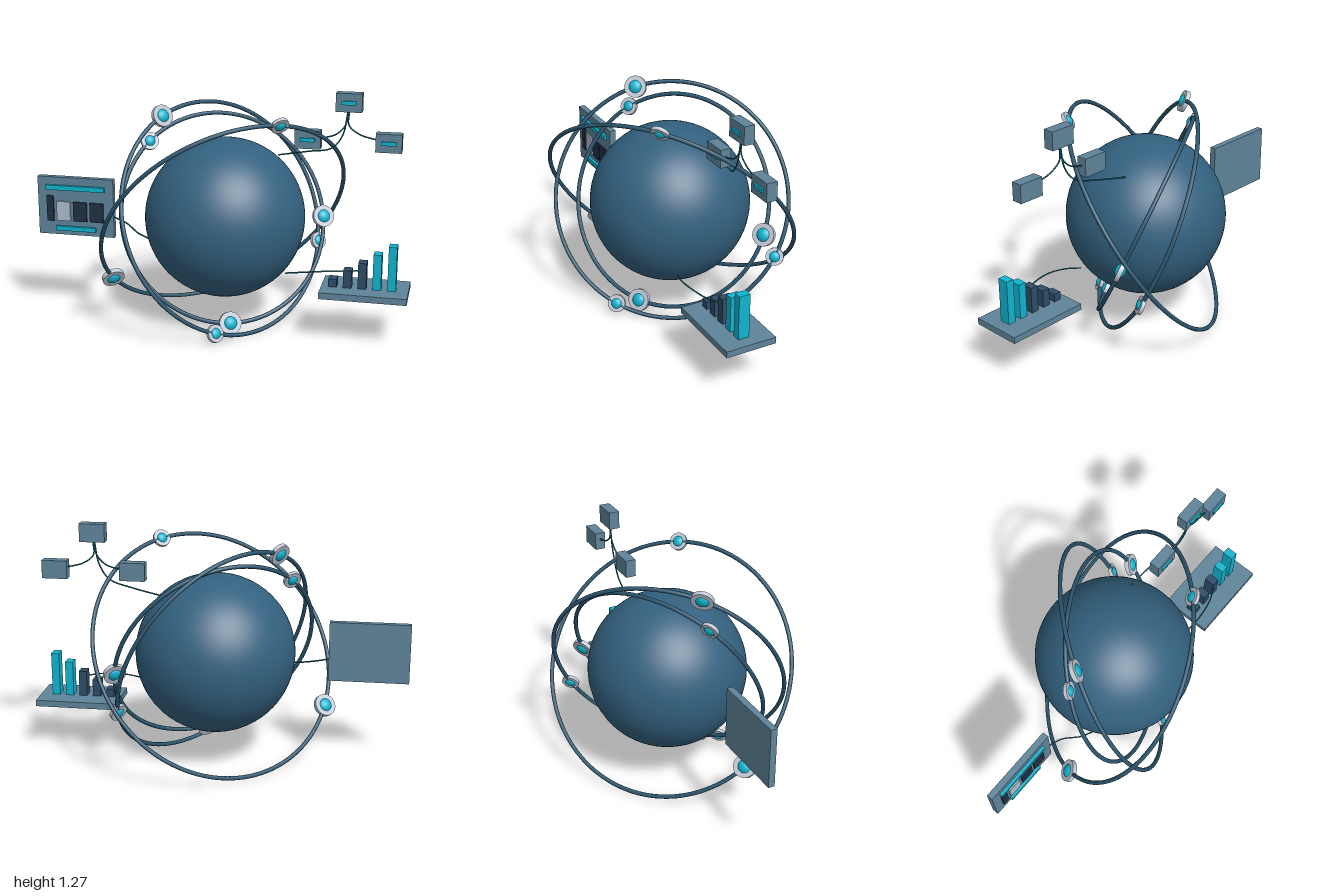
import * as THREE from 'three';

const material = (name, color) => {
  const m = new THREE.MeshStandardMaterial({ color });
  m.name = name;
  return m;
};

export function createModel() {
  const model = new THREE.Group();
  model.name = 'orbitingDataGlobe';

  const globeBlue = material('globe blue', 0x33617f);
  const ringBlue = material('ring blue', 0x2b556e);
  const slate = material('slate', 0x5f8499);
  const cyan = material('cyan', 0x10b4d0);
  const teal = material('cable teal', 0x0e6f78);
  const silver = material('silver', 0xbec7d4);
  const lightGrey = material('light grey', 0xafbccb);
  const navy = material('navy', 0x1f3044);
  const barBlue = material('bar blue', 0x2e4c68);

  const add = (parent, name, geometry, mat) => {
    const mesh = new THREE.Mesh(geometry, mat);
    mesh.name = name;
    parent.add(mesh);
    return mesh;
  };
  const group = (name) => {
    const g = new THREE.Group();
    g.name = name;
    model.add(g);
    return g;
  };
  // Box given by its extents along each axis
  const box = (parent, name, mat, [x0, x1], [y0, y1], [z0, z1]) => {
    const mesh = add(parent, name, new THREE.BoxGeometry(x1 - x0, y1 - y0, z1 - z0), mat);
    mesh.position.set((x0 + x1) / 2, (y0 + y1) / 2, (z0 + z1) / 2);
    return mesh;
  };
  const cable = (parent, name, points) => {
    const curve = new THREE.CatmullRomCurve3(points.map((p) => new THREE.Vector3(...p)));
    return add(parent, name, new THREE.TubeGeometry(curve, 32, 0.004, 6), teal);
  };

  // Globe
  const center = new THREE.Vector3(0.019, 0.596, 0);
  add(model, 'globe', new THREE.SphereGeometry(0.422, 64, 40), globeBlue).position.copy(center);

  // Tilted orbit rings, each carrying disc-and-bead nodes: [direction, disc radius]
  const orbits = [
    { name: 'outerOrbit', radius: 0.682, normal: [0.504, -0.563, 0.649],
      nodes: [[[0.33, 0.563, 0.23], 0.047], [[-0.58, -0.335, 0.165], 0.06]] },
    { name: 'middleOrbit', radius: 0.626, normal: [0.705, 0.4, 0.59],
      nodes: [[[-0.32, 0.54, 0.04], 0.058], [[0.44, -0.227, -0.39], 0.047], [[0.02, -0.53, 0.33], 0.047]] },
    { name: 'innerOrbit', radius: 0.562, normal: [0.496, 0.416, 0.771],
      nodes: [[[-0.4, 0.403, 0.04], 0.047], [[0.49, -0.047, -0.28], 0.059], [[0.08, -0.507, 0.23], 0.059]] },
  ];
  const zAxis = new THREE.Vector3(0, 0, 1);
  for (const { name, radius, normal, nodes } of orbits) {
    const orbit = group(name);
    const n = new THREE.Vector3(...normal).normalize();
    orbit.position.copy(center);
    orbit.quaternion.setFromUnitVectors(zAxis, n);
    const inverse = orbit.quaternion.clone().invert();
    add(orbit, 'ring', new THREE.TorusGeometry(radius, 0.011, 10, 128), ringBlue);
    for (const [direction, r] of nodes) {
      // Project the direction into the ring plane
      const p = new THREE.Vector3(...direction).applyQuaternion(inverse).setZ(0).setLength(radius);
      const disc = add(orbit, 'nodeDisc', new THREE.CylinderGeometry(r, r, r * 0.4, 32), silver);
      disc.rotation.x = Math.PI / 2;
      disc.position.copy(p);
      const bead = add(orbit, 'nodeBead', new THREE.SphereGeometry(r * 0.65, 24, 16), cyan);
      bead.scale.z = 0.7;
      bead.position.copy(p);
    }
  }

  // Display board with a small page layout
  const board = group('displayBoard');
  box(board, 'boardPanel', slate, [-1, -0.577], [0.455, 0.775], [0.03, 0.064]);
  const face = [0.064, 0.073];
  box(board, 'headerStrip', cyan, [-0.95, -0.623], [0.706, 0.732], [0.064, 0.08]);
  box(board, 'footerStrip', cyan, [-0.9, -0.677], [0.481, 0.505], [0.064, 0.08]);
  box(board, 'sideBlock', navy, [-0.95, -0.912], [0.53, 0.671], face);
  [lightGrey, navy, navy].forEach((mat, i) => {
    const x = -0.895 + i * 0.093;
    box(board, 'contentBlock', mat, [x, x + 0.076], [0.535, 0.642], face);
  });
  cable(board, 'boardCable', [[-0.585, 0.57, 0.05], [-0.5, 0.545, 0.075], [-0.42, 0.515, 0.135], [-0.355, 0.5, 0.165]]);

  // Bar chart on a tray
  const chart = group('barChart');
  box(chart, 'chartTray', slate, [0.553, 1], [0.257, 0.291], [-0.052, 0.22]);
  [0.334, 0.385, 0.43, 0.48, 0.527].forEach((top, i) => {
    const x = 0.59 + i * 0.0758;
    box(chart, 'chartBar', i < 3 ? barBlue : cyan, [x, x + 0.043], [0.291, top], [0.06, 0.12]);
  });
  cable(chart, 'chartCable', [[0.37, 0.355, 0.14], [0.46, 0.375, 0.165], [0.57, 0.39, 0.17], [0.68, 0.392, 0.15], [0.76, 0.39, 0.11]]);

  // Network of three linked boxes
  const network = group('network');
  for (const [x, y] of [[0.654, 1.23], [0.447, 1.03], [0.861, 1.03]]) {
    box(network, 'networkBox', slate, [x - 0.067, x + 0.067], [y - 0.048, y + 0.048], [-0.069, -0.012]);
    box(network, 'networkLabel', cyan, [x - 0.038, x + 0.038], [y - 0.01, y + 0.01], [-0.012, -0.003]);
  }
  cable(network, 'networkTrunk', [[0.28, 0.92, -0.105], [0.44, 0.952, -0.085], [0.57, 0.985, -0.05], [0.625, 1.06, -0.04], [0.648, 1.185, -0.04]]);
  cable(network, 'networkLinkLeft', [[0.655, 1.185, -0.04], [0.637, 1.11, -0.04], [0.59, 1.06, -0.04], [0.51, 1.035, -0.04]]);
  cable(network, 'networkLinkRight', [[0.655, 1.185, -0.04], [0.655, 1.11, -0.04], [0.71, 1.065, -0.04], [0.8, 1.04, -0.04]]);

  return model;
}
